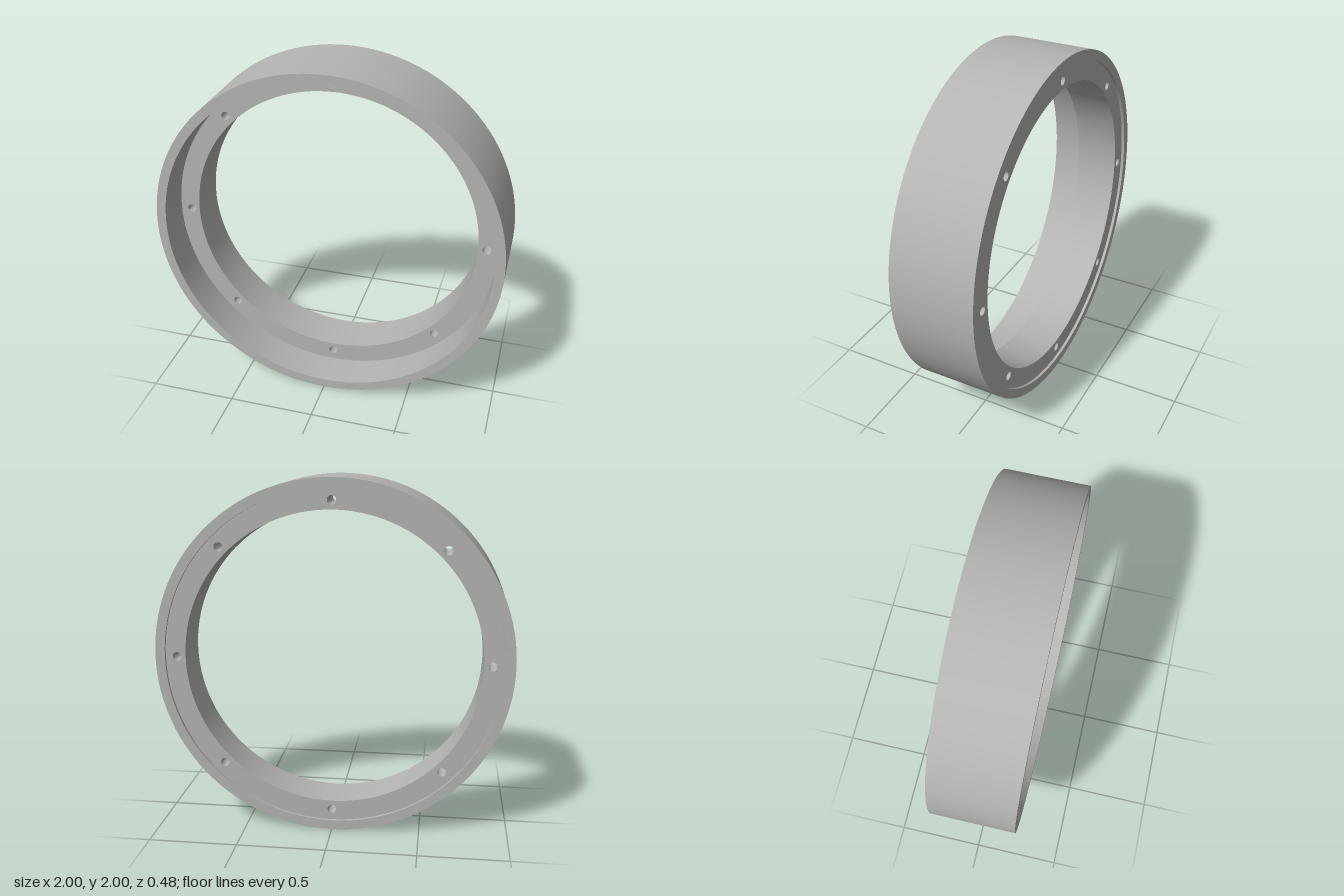
import * as THREE from 'three';
import { mergeGeometries } from 'three/addons/utils/BufferGeometryUtils.js';

const SEG = 128;
const R_OUT = 1, R_SEAT = 0.945, R_BORE = 0.83, R_BOLT = 0.88, R_HOLE = 0.025;
const Z_FRONT = 0.24, Z_BACK = -0.24;       // rim ends
const WEB_FRONT = 0.027, WEB_BACK = -0.223; // flange faces

// Sweeps each [radius, z] segment around the z axis, keeping sharp edges between them
function revolve(profile, segments = SEG) {
  const parts = [];
  for (let i = 0; i < profile.length - 1; i++) {
    const pair = [profile[i], profile[i + 1]].map(([r, z]) => new THREE.Vector2(r, z));
    parts.push(new THREE.LatheGeometry(pair, segments).rotateX(Math.PI / 2));
  }
  return mergeGeometries(parts);
}

export function createModel() {
  const group = new THREE.Group();
  const grey = new THREE.MeshStandardMaterial({ color: 0xb4b4b4 });
  grey.name = 'grey metal';

  const add = (name, geometry) => {
    const mesh = new THREE.Mesh(geometry, grey);
    mesh.name = name;
    mesh.position.y = 1;
    group.add(mesh);
    return mesh;
  };

  // Outer rim with a deep front recess and a shallow back recess
  add('rim', revolve([
    [R_SEAT, WEB_BACK], [R_SEAT, Z_BACK], [R_OUT, Z_BACK],
    [R_OUT, Z_FRONT], [R_SEAT, Z_FRONT], [R_SEAT, WEB_FRONT],
  ]));

  // Inner bore wall
  add('bore', revolve([[R_BORE, WEB_FRONT], [R_BORE, WEB_BACK]]));

  // Flange face with eight bolt holes
  const face = new THREE.Shape().absarc(0, 0, R_SEAT, 0, Math.PI * 2);
  face.holes.push(new THREE.Path().absarc(0, 0, R_BORE, 0, Math.PI * 2, true));
  for (let i = 0; i < 8; i++) {
    const a = i * Math.PI / 4;
    const x = R_BOLT * Math.cos(a), y = R_BOLT * Math.sin(a);
    face.holes.push(new THREE.Path().absarc(x, y, R_HOLE, 0, Math.PI * 2, true));
    // Wall of each bolt hole
    const wall = revolve([[R_HOLE, WEB_FRONT], [R_HOLE, WEB_BACK]], 32);
    add('boltHole', wall.translate(x, y, 0));
  }
  const flat = new THREE.ShapeGeometry(face, SEG / 2);
  add('flangeFront', flat.clone().translate(0, 0, WEB_FRONT));
  add('flangeBack', flat.clone().rotateY(Math.PI).translate(0, 0, WEB_BACK));

  return group;
}
